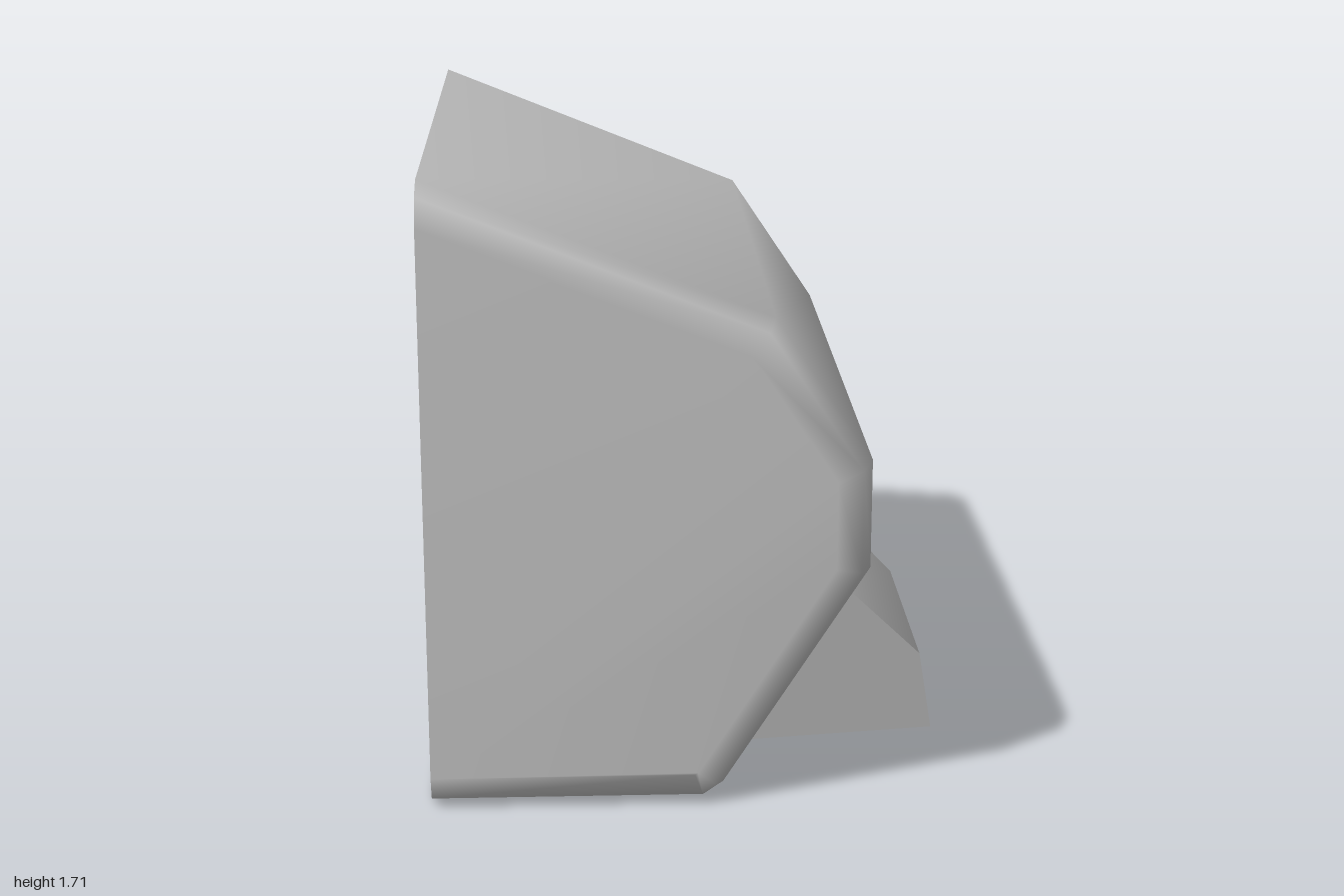
import * as THREE from 'three';

const material = new THREE.MeshStandardMaterial({ color: 0xcccccc, side: THREE.DoubleSide });

function addMesh(group, name, geometry) {
  const mesh = new THREE.Mesh(geometry, material);
  mesh.name = name;
  group.add(mesh);
  return mesh;
}

function indexed(points, index) {
  const geometry = new THREE.BufferGeometry();
  geometry.setAttribute('position', new THREE.Float32BufferAttribute(points.flat(), 3));
  geometry.setIndex(index);
  geometry.computeVertexNormals();
  return geometry;
}

// Side profile of the casing, counter-clockwise, open at the back edge
const BACK = -0.69;
const profile = [
  [BACK, 0], [0.05, 0], [0.1, 0.035], [0.49, 0.65], [0.49, 0.95], [0.23, 1.34], [BACK, 1.71],
];

// x of the sloping lower wall at a given height
const wallX = (y) => 0.1 + ((y - 0.035) / 0.615) * 0.39;

// Moves every profile edge inwards by d, keeping the ends on the back plane
function inset(d) {
  const lines = profile.slice(1).map(([x, y], i) => {
    const [px, py] = profile[i];
    const length = Math.hypot(x - px, y - py);
    const dx = (x - px) / length, dy = (y - py) / length;
    return { x: px - dy * d, y: py + dx * d, dx, dy };
  });
  const backLine = { x: BACK, y: 0, dx: 0, dy: 1 };
  const all = [backLine, ...lines, backLine];
  return profile.map((_, i) => {
    const a = all[i], b = all[i + 1];
    const t = ((b.x - a.x) * b.dy - (b.y - a.y) * b.dx) / (a.dx * b.dy - a.dy * b.dx);
    return [a.x + a.dx * t, a.y + a.dy * t];
  });
}

// Hollow casing: rounded side edges, flat ends, floor left out for the recess
function casingGeometry() {
  const sections = [[-1, 0.1], [-0.97, 0.03], [-0.9, 0], [0.9, 0], [0.97, 0.03], [1, 0.1]];
  const n = profile.length;
  const points = sections.flatMap(([z, d]) => inset(d).map(([x, y]) => [x, y, z]));
  const index = [];
  for (let s = 0; s < sections.length - 1; s++) {
    for (let i = 0; i < n - 1; i++) {
      if (s === 2 && i === 0) continue;
      const a = s * n + i, b = a + n;
      index.push(a, a + 1, b + 1, a, b + 1, b);
    }
  }
  const last = (sections.length - 1) * n;
  for (let i = 1; i < n - 1; i++) {
    index.push(0, i + 1, i, last, last + i, last + i + 1);
  }
  return indexed(points, index);
}

// Floor rim with a shallow recessed panel
function addFloor(group) {
  const x0 = -0.64, x1 = 0.01, halfZ = 0.86, depth = 0.035;
  const rectangle = (path, ax, bx, h) =>
    path.moveTo(ax, -h).lineTo(bx, -h).lineTo(bx, h).lineTo(ax, h).closePath();
  const rim = rectangle(new THREE.Shape(), BACK, 0.05, 0.9);
  rim.holes.push(rectangle(new THREE.Path(), x0, x1, halfZ));
  addMesh(group, 'floorRim', new THREE.ShapeGeometry(rim).rotateX(Math.PI / 2));

  const box = new THREE.BoxGeometry(x1 - x0, depth, halfZ * 2);
  const index = Array.from(box.index.array);
  index.splice(18, 6); // leave the underside open
  box.setIndex(index);
  box.clearGroups();
  box.translate((x0 + x1) / 2, depth / 2, 0);
  addMesh(group, 'floorRecess', box);
}

// Spout hood: narrowing cover, open underneath
function addHood(group) {
  const centre = 0.426;
  const rows = [[wallX(0.11), 0.11, 0.374], [wallX(0.56), 0.56, 0.374], [0.65, 0.34, 0.327], [0.69, 0.11, 0.303]];
  const side = (sign) => rows.map(([x, y, w]) => [x, y, centre + sign * w]);
  const left = side(1), right = side(-1);
  const cover = [1, 2, 3].flatMap((i) => [left[i], right[i]]);
  addMesh(group, 'hoodCover', indexed(cover, [0, 2, 3, 0, 3, 1, 2, 4, 5, 2, 5, 3]));
  addMesh(group, 'hoodSideLeft', indexed(left, [0, 3, 2, 0, 2, 1]));
  addMesh(group, 'hoodSideRight', indexed(right, [0, 2, 3, 0, 1, 2]));
}

// Turned part whose axis points along +x; profile points are [radius, x]
function turned(points) {
  return new THREE.LatheGeometry(points.map(([r, x]) => new THREE.Vector2(r, x)), 40)
    .rotateZ(-Math.PI / 2)
    .translate(0, 0.297, -0.465);
}

function addButton(group) {
  const collar = turned([[0.168, 0.14], [0.163, 0.36], [0.147, 0.4], [0.138, 0.415]]);
  // Trim the collar where it meets the sloping wall
  const position = collar.attributes.position;
  for (let i = 0; i < position.count; i++) {
    position.setX(i, Math.max(position.getX(i), wallX(position.getY(i)) - 0.004));
  }
  collar.computeVertexNormals();
  addMesh(group, 'buttonCollar', collar);
  addMesh(group, 'buttonRim', turned([[0.138, 0.415], [0.12, 0.415]]));
  addMesh(group, 'buttonSocket', turned([[0.12, 0.415], [0.12, 0.385], [0.09, 0.385]]));
  addMesh(group, 'buttonNeck', turned([[0.09, 0.385], [0.09, 0.46]]));
  addMesh(group, 'buttonKnob', turned([
    [0.09, 0.455], [0.108, 0.457], [0.117, 0.468], [0.117, 0.495], [0.108, 0.513], [0.085, 0.524], [0.045, 0.529], [0, 0.53],
  ]));
}

export function createModel() {
  const model = new THREE.Group();
  model.name = 'dispenser';
  addMesh(model, 'casing', casingGeometry());

  for (const [name, build] of [['floor', addFloor], ['hood', addHood], ['button', addButton]]) {
    const part = new THREE.Group();
    part.name = name;
    build(part);
    model.add(part);
  }
  return model;
}
